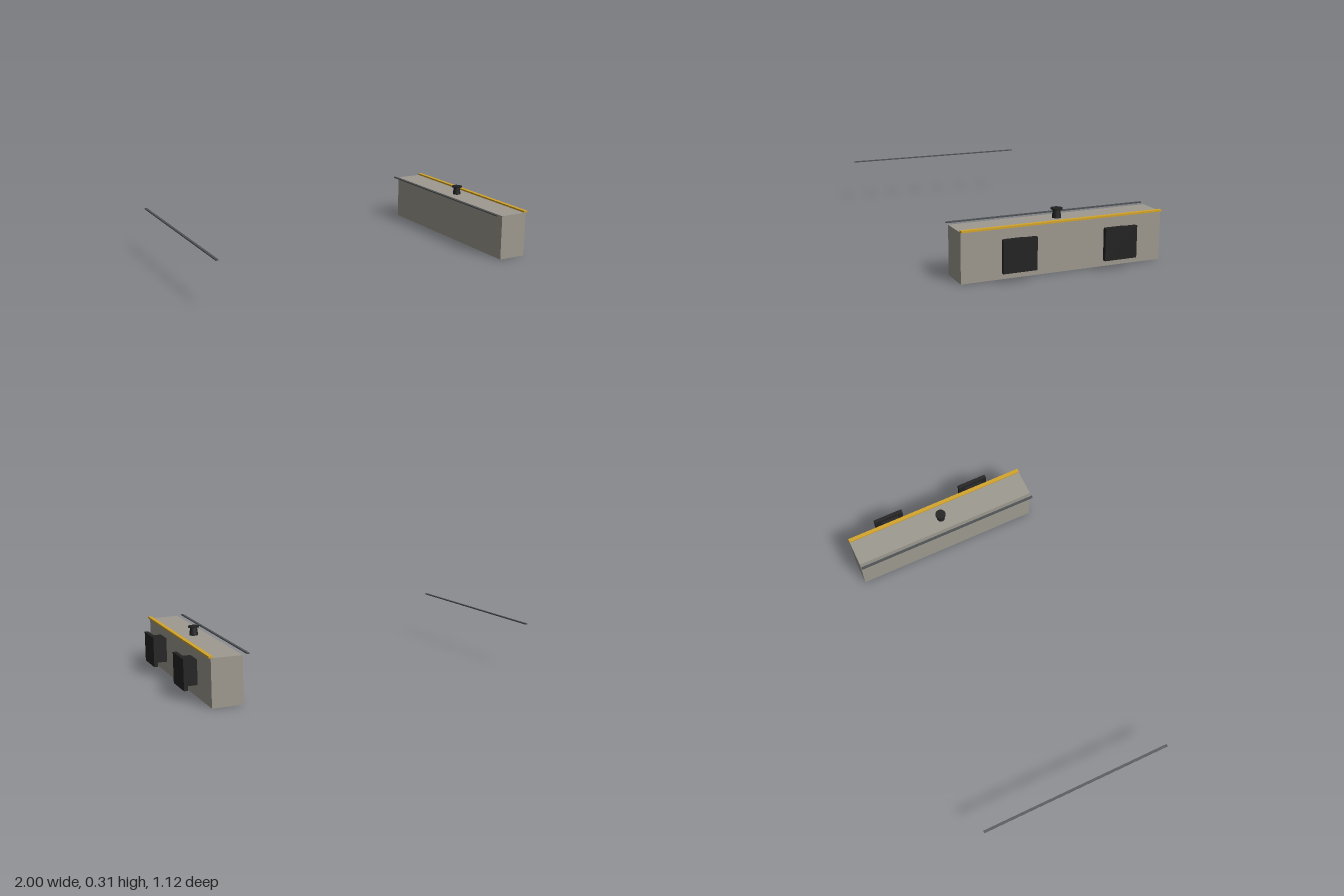
import * as THREE from 'three';

export function createModel() {
  const dock = new THREE.Group();
  dock.name = 'dock';
  const paint = (name, color) => {
    const m = new THREE.MeshStandardMaterial({ color });
    m.name = name;
    return m;
  };
  const concrete = paint('concrete', 0x9e9a90);
  const yellow = paint('safetyYellow', 0xd4a52a);
  const rubber = paint('blackRubber', 0x222222);
  const steel = paint('railSteel', 0x4e5154);

  const add = (name, geometry, material, x, y, z, parent = dock) => {
    const mesh = new THREE.Mesh(geometry, material);
    mesh.name = name;
    mesh.position.set(x, y, z);
    parent.add(mesh);
    return mesh;
  };
  // Box given by its lower and upper limits on each axis
  const box = (name, material, [x0, x1], [y0, y1], [z0, z1], parent) =>
    add(name, new THREE.BoxGeometry(x1 - x0, y1 - y0, z1 - z0), material,
      (x0 + x1) / 2, (y0 + y1) / 2, (z0 + z1) / 2, parent);

  const span = [-0.56, 0.56];

  // Quay wall with its painted edge strip
  box('quayWall', concrete, [0.746, 0.915], [0, 0.26], span);
  box('edgeStrip', yellow, [0.904, 0.926], [0.26, 0.27], span);

  // Crane rails, one beside the wall and one far inland
  box('nearRail', steel, [0.709, 0.723], [0.262, 0.268], span);
  box('farRail', steel, [-1, -0.986], [0.262, 0.268], span);

  // Fenders: a rubber block carrying a wider face panel
  for (const z of [-0.28, 0.28]) {
    const fender = new THREE.Group();
    fender.name = z > 0 ? 'frontFender' : 'backFender';
    fender.position.z = z;
    dock.add(fender);
    box('fenderBlock', rubber, [0.915, 0.978], [0.068, 0.205], [-0.055, 0.055], fender);
    box('fenderPanel', rubber, [0.978, 1], [0.053, 0.222], [-0.091, 0.091], fender);
  }

  // Mooring bollard: tapered post under a flat cap
  const bollard = new THREE.Group();
  bollard.name = 'bollard';
  bollard.position.set(0.823, 0.26, 0);
  dock.add(bollard);
  add('bollardPost', new THREE.CylinderGeometry(0.019, 0.024, 0.044, 16), rubber, 0, 0.022, 0, bollard);
  add('bollardCap', new THREE.CylinderGeometry(0.031, 0.031, 0.007, 16), rubber, 0, 0.0475, 0, bollard);

  return dock;
}
